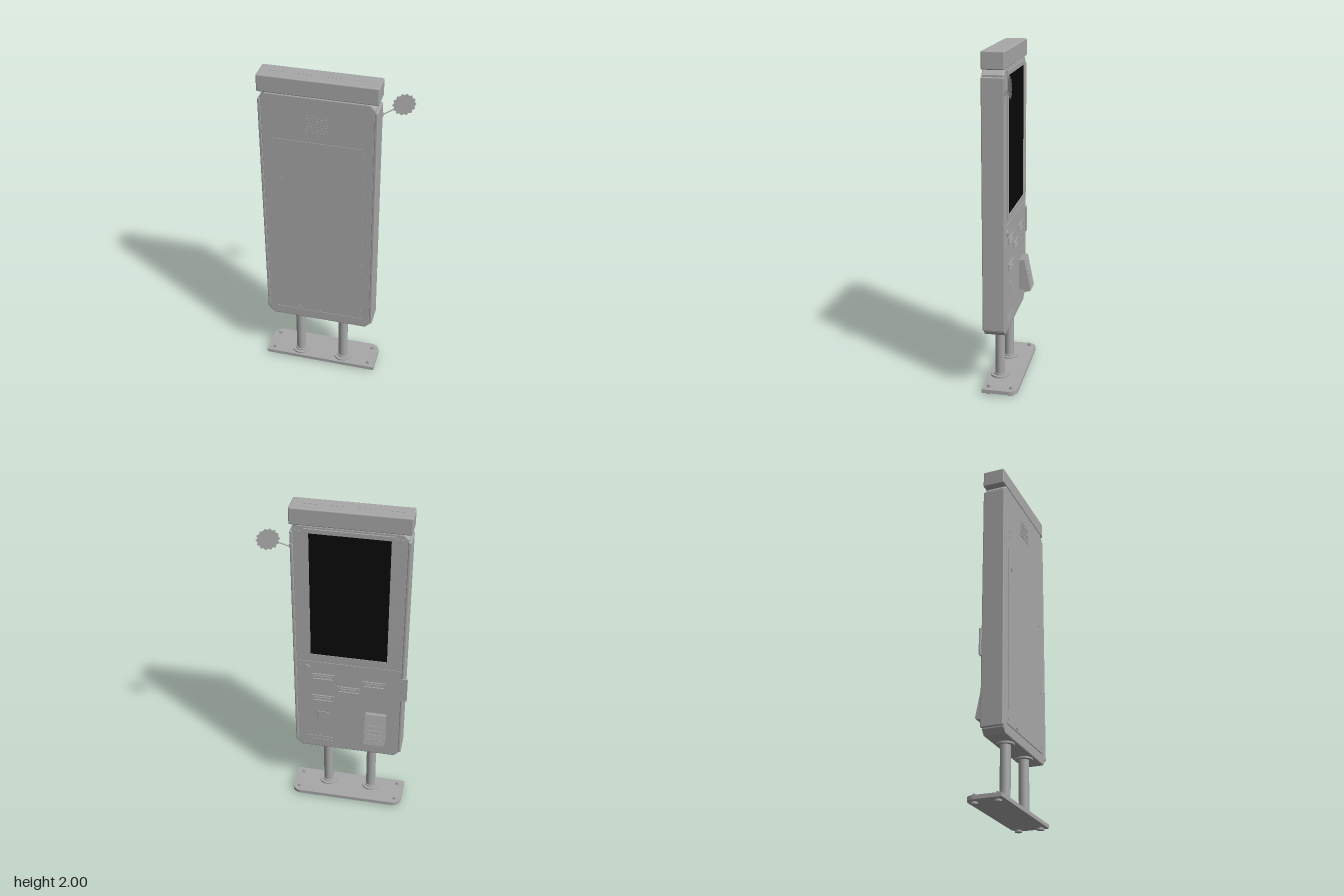
import * as THREE from 'three';
import { RoundedBoxGeometry } from 'three/addons/geometries/RoundedBoxGeometry.js';

export function createModel() {
  const model = new THREE.Group();
  model.name = 'kiosk';
  const metal = new THREE.MeshStandardMaterial({ color: 0xa8a8a8 });
  const sheet = new THREE.MeshStandardMaterial({ color: 0xa8a8a8, side: THREE.DoubleSide });
  metal.name = 'grey metal';
  sheet.name = 'grey sheet';
  const black = new THREE.MeshStandardMaterial({ color: 0x090909 });
  black.name = 'black glass';
  const CX = -0.075; // middle of the cabinet

  function add(name, geometry, material = metal, parent = model) {
    const mesh = new THREE.Mesh(geometry, material);
    mesh.name = name;
    parent.add(mesh);
    return mesh;
  }
  // Box given by its limits, with optional rounded edges
  function box(name, [x0, x1], [y0, y1], [z0, z1], radius = 0, material = metal, parent = model) {
    const s = [x1 - x0, y1 - y0, z1 - z0];
    const g = radius ? new RoundedBoxGeometry(...s, 2, radius) : new THREE.BoxGeometry(...s);
    const m = add(name, g, material, parent);
    m.position.set((x0 + x1) / 2, (y0 + y1) / 2, (z0 + z1) / 2);
    return m;
  }
  function disc(name, r, y0, y1, x, z, sides = 32) {
    const m = add(name, new THREE.CylinderGeometry(r, r, y1 - y0, sides));
    m.position.set(x, (y0 + y1) / 2, z);
    return m;
  }
  // Short cylinder whose axis runs along z
  function stud(name, r, x, y, z, depth, sides = 16) {
    const m = add(name, new THREE.CylinderGeometry(r, r, depth, sides));
    m.rotation.x = Math.PI / 2;
    m.position.set(x, y, z);
    return m;
  }
  const polygon = (pts) => new THREE.Shape(pts.map(([x, y]) => new THREE.Vector2(x, y)));
  const rect = (w, h) => [[-w / 2, -h / 2], [w / 2, -h / 2], [w / 2, h / 2], [-w / 2, h / 2]];
  // Rectangular rim standing on the back face
  function frame(name, x, y, w, h, rim, z0, z1) {
    const s = polygon(rect(w, h));
    s.holes.push(polygon(rect(w - 2 * rim, h - 2 * rim)));
    const m = add(name, new THREE.ExtrudeGeometry(s, { depth: z1 - z0, bevelEnabled: false }));
    m.position.set(x, y, z0);
  }

  // Cabinet with chamfered corners
  const hw = 0.308, c = 0.025, b = 0.006;
  const y0 = 0.371, y1 = 1.894;
  const outline = polygon([
    [-hw + c, y0], [hw - c, y0], [hw, y0 + c], [hw, y1 - c],
    [hw - c, y1], [-hw + c, y1], [-hw, y1 - c], [-hw, y0 + c],
  ]);
  const cabinet = add('cabinet', new THREE.ExtrudeGeometry(outline, {
    depth: 0.112, bevelThickness: b, bevelSize: b, bevelSegments: 2,
  }));
  cabinet.position.set(CX, 0, -0.02);
  for (const s of [-1, 1]) {
    const a = CX + s * 0.308, e = CX + s * 0.326;
    box('sideCover', [Math.min(a, e), Math.max(a, e)], [0.4, 1.86], [-0.03, 0.1], 0.006);
  }
  box('header', [-0.404, 0.254], [1.9, 1.999], [-0.031, 0.098], 0.007);
  for (let i = 0; i < 4; i++) {
    const x = CX + (i - 1.5) * 0.155;
    box('headerSlot', [x - 0.045, x + 0.045], [1.998, 2], [0.031, 0.037]);
  }

  // Front service door, fixings, locks and vent
  box('serviceDoor', [-0.33, 0.183], [0.43, 1.63], [0.09, 0.1005]);
  box('doorLip', [-0.338, 0.188], [0.424, 0.432], [0.09, 0.103]);
  for (const x of [-0.322, 0.174])
    for (const y of [0.46, 0.79, 1.23, 1.57, 1.605]) stud('doorScrew', 0.005, x, y, 0.1, 0.005, 8);
  stud('doorLock', 0.01, -0.288, 1.375, 0.101, 0.007);
  stud('lowerLock', 0.012, -0.2, 0.447, 0.101, 0.007);
  for (let r = 0; r < 7; r++)
    for (let k = 0; k < 5; k++) {
      const x = -0.128 + k * 0.026, y = 1.695 + r * 0.016;
      box('ventSlot', [x - 0.009, x + 0.009], [y - 0.003, y + 0.003], [0.096, 0.1]);
    }

  // Back panels and display
  box('upperPanel', [-0.375, 0.225], [1.024, 1.87], [-0.029, -0.02]);
  box('lowerPanel', [-0.375, 0.225], [0.4, 1.018], [-0.029, -0.02]);
  frame('displayFrame', CX, 1.4675, 0.494, 0.835, 0.025, -0.034, -0.026);
  box('display', [CX - 0.2225, CX + 0.2225], [1.075, 1.86], [-0.031, -0.026], 0, black);

  // Card and receipt slots
  for (const [x, y] of [[0.076, 0.914], [0.076, 0.754], [-0.075, 0.837], [-0.226, 0.897]]) {
    frame('slotFrame', x, y, 0.13, 0.042, 0.007, -0.036, -0.028);
    box('slotMouth', [x - 0.05, x + 0.05], [y - 0.005, y + 0.005], [-0.034, -0.028]);
  }
  stud('button', 0.019, 0.17, 0.974, -0.031, 0.008, 24);
  stud('buttonCap', 0.012, 0.17, 0.974, -0.034, 0.008, 24);
  box('readerPlate', [0.035, 0.115], [0.588, 0.65], [-0.032, -0.028], 0.0015);
  box('lowerSlit', [0.005, 0.175], [0.447, 0.453], [-0.032, -0.028]);
  box('lowerTray', [0.02, 0.16], [0.424, 0.428], [-0.031, -0.028]);
  box('sideTab', [-0.421, -0.385], [0.81, 0.967], [-0.035, -0.027]);

  // Sloping keypad
  const profile = polygon([
    [0.025, 0.5], [0.06, 0.5], [0.07, 0.486], [0.102, 0.495], [0.062, 0.695], [0.025, 0.687],
  ]);
  const pad = add('keypadBody', new THREE.ExtrudeGeometry(profile, { depth: 0.122, bevelEnabled: false }));
  pad.rotation.y = Math.PI / 2;
  pad.position.x = -0.305;
  const face = new THREE.Group();
  face.name = 'keypadFace';
  face.rotation.set(-0.197, Math.PI, 0, 'YXZ');
  face.position.set(-0.244, 0.595, -0.082);
  model.add(face);
  box('keypadDisplay', [-0.045, 0.045], [0.048, 0.085], [-0.002, 0.002], 0, metal, face);
  for (let r = 0; r < 4; r++)
    for (let k = -1; k <= 1; k++) {
      const y = 0.022 - r * 0.03;
      box('key', [k * 0.03 - 0.012, k * 0.03 + 0.012], [y - 0.01, y + 0.01], [-0.002, 0.004], 0.001, metal, face);
    }

  // Posts with flanges
  for (const x of [-0.213, 0.06]) {
    disc('post', 0.029, 0.035, 0.37, x, 0.037);
    disc('lowerFlange', 0.055, 0.036, 0.047, x, 0.037);
    disc('lowerCollar', 0.037, 0.047, 0.055, x, 0.037);
    disc('upperFlange', 0.05, 0.355, 0.367, x, 0.037);
  }

  // Base plate, rounded at the back only
  const w = 0.347, r = 0.055, d = 0.104;
  const plate = new THREE.Shape();
  plate.moveTo(-w, -d);
  plate.lineTo(w, -d);
  plate.lineTo(w, d - r);
  plate.absarc(w - r, d - r, r, 0, Math.PI / 2);
  plate.absarc(-w + r, d - r, r, Math.PI / 2, Math.PI);
  plate.closePath();
  const base = add('basePlate', new THREE.ExtrudeGeometry(plate, { depth: 0.022, bevelEnabled: false }));
  base.rotation.x = -Math.PI / 2;
  base.position.set(CX, 0.015, 0);
  for (const x of [-0.382, 0.231])
    for (const z of [-0.063, 0.068]) {
      disc('foot', 0.021, 0, 0.01, x, z, 24);
      disc('footStem', 0.009, 0.005, 0.053, x, z, 16);
      disc('footNut', 0.012, 0.036, 0.044, x, z, 6);
    }

  // Flat toothed sign on a thin arm
  const sign = new THREE.Group();
  sign.name = 'sign';
  sign.position.set(0.354, 1.828, -0.081);
  sign.rotation.y = 0.37;
  model.add(sign);
  const teeth = Array.from({ length: 28 }, (_, i) => {
    const a = (i / 28) * Math.PI * 2, q = i % 2 ? 0.056 : 0.066;
    return [q * Math.cos(a), q * Math.sin(a)];
  });
  add('toothedDisc', new THREE.ShapeGeometry(polygon(teeth)), sheet, sign);
  const arm = polygon([[-0.118, -0.052], [-0.116, -0.058], [-0.045, -0.022], [-0.047, -0.016]]);
  add('signArm', new THREE.ShapeGeometry(arm), sheet, sign);
  box('signBracket', [0.237, 0.251], [1.765, 1.79], [-0.043, -0.028]);

  return model;
}
